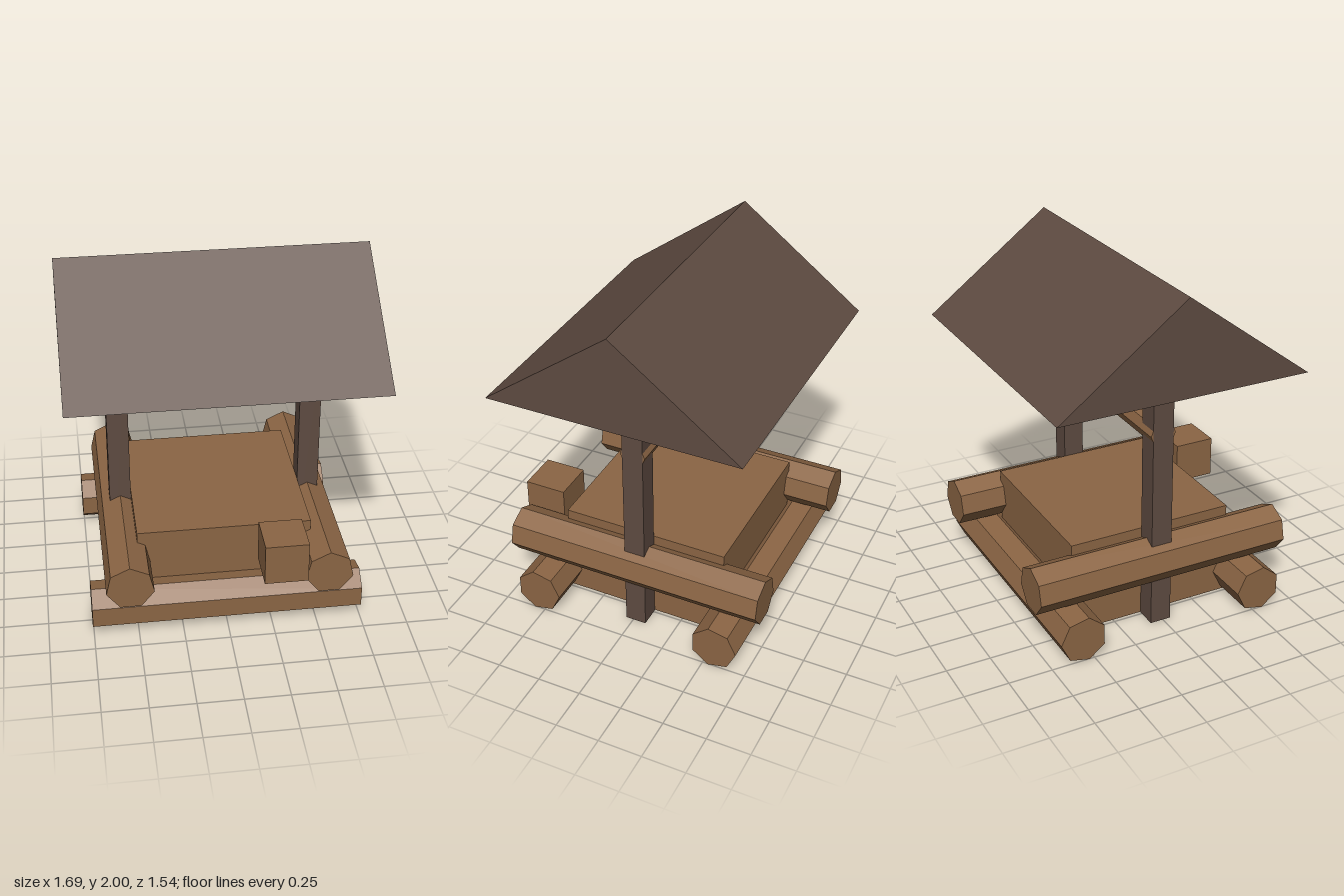
import * as THREE from 'three';

export function createModel() {
  const model = new THREE.Group();
  model.name = 'well';

  const wood = new THREE.MeshStandardMaterial({ color: 0x8b6544 });
  wood.name = 'warm wood';
  const darkWood = new THREE.MeshStandardMaterial({ color: 0x5e4b41 });
  darkWood.name = 'dark wood';
  wood.flatShading = darkWood.flatShading = true;

  const midZ = -0.016;

  const add = (name, geometry, material, x, y, z) => {
    const mesh = new THREE.Mesh(geometry, material);
    mesh.name = name;
    mesh.position.set(x, y, z);
    model.add(mesh);
  };

  // Faceted pole lying along x or z
  const pole = (radius, length, sides, axis) => {
    const g = new THREE.CylinderGeometry(radius, radius, length, sides, 1, false, Math.PI);
    return axis === 'x' ? g.rotateZ(-Math.PI / 2) : g.rotateX(Math.PI / 2);
  };

  // Well body
  add('wellBody', new THREE.BoxGeometry(0.97, 0.546, 0.97), wood, 0, 0.277, midZ);

  // Crossed logs and posts, one of each per side
  for (const s of [-1, 1]) {
    add(s > 0 ? 'frontLog' : 'backLog', pole(0.134, 1.51, 7, 'x'), wood, 0, 0.132, midZ + s * 0.546);
    const side = s > 0 ? 'left' : 'right';
    add(side + 'Log', pole(0.134, 1.51, 7, 'z'), wood, s * 0.546, 0.386, midZ);
    add(side + 'Post', new THREE.BoxGeometry(0.121, 1.48, 0.121), darkWood, s * 0.546, 0.74, midZ);
  }

  // Axle between the posts
  add('axle', pole(0.0735, 1.21, 8, 'x'), wood, 0, 1.157, midZ);

  // Bucket resting at the front
  add('bucket', new THREE.BoxGeometry(0.24, 0.24, 0.24), wood, 0.3, 0.49, 0.651);

  // Gabled roof
  const gable = new THREE.Shape([
    new THREE.Vector2(-0.724, 0),
    new THREE.Vector2(0.724, 0),
    new THREE.Vector2(0, 0.54),
  ]);
  const roof = new THREE.ExtrudeGeometry(gable, { depth: 1.69, bevelEnabled: false });
  roof.translate(0, 0, -0.845).rotateY(-Math.PI / 2);
  add('roof', roof, darkWood, 0, 1.46, midZ);

  return model;
}
